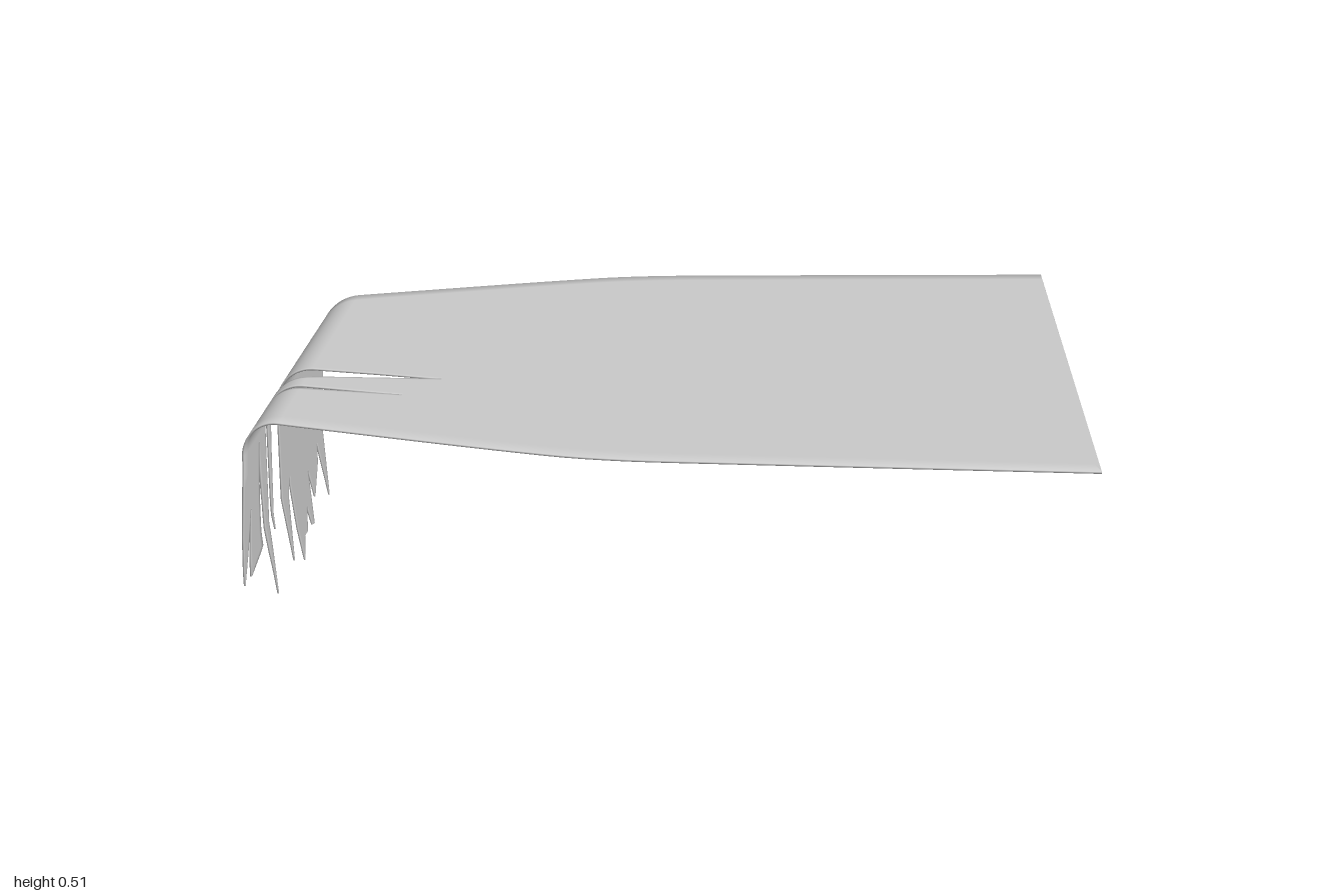
import * as THREE from 'three';

const R = 0.085, TOP = 0.513, FOLD = -0.8, THICK = 0.002;

// Length along the cloth (as a continued x) at which the hanging part reaches height y
const drop = (y) => {
  const k = TOP - R - y;
  return FOLD - R * (k > 0 ? Math.PI / 2 : Math.acos(Math.min(1, 1 + k / R))) - Math.max(0, k);
};
// Torn hem points [z, y] to pattern points [length, z]
const hang = (hem) => hem.map(([z, y]) => [drop(y), z]);

// Smooth outer edge, the same on both sides; the straight end leans slightly
const sideCurve = new THREE.SplineCurve([
  [0.9, 0.995], [0.2, 0.955], [-0.1, 0.93], [-0.32, 0.862], [-0.75, 0.685],
  [drop(0.46), 0.632], [drop(0.23), 0.567],
].map(([p, z]) => new THREE.Vector2(p, z)));
const sideEdge = (s) => sideCurve.getPoints(30).map((v) => [v.x + s * 0.005, s * v.y]);

// Flat cutting pattern of the cloth
function clothOutline() {
  const wideHem = hang([[-0.535, 0.04], [-0.5, 0.11], [-0.455, 0.19], [-0.43, 0.15], [-0.33, 0.09], [-0.28, 0.168],
    [-0.27, 0.04], [-0.24, 0.045], [-0.2, 0.1], [-0.165, 0.05], [-0.12, 0.05], [-0.08, 0.003], [-0.04, 0.09],
    [-0.02, 0.22], [0.02, 0.18], [0.055, 0.04], [0.105, 0.2], [0.135, 0.46]]);
  const wideSlit = [[-0.8, 0.145], [-0.65, 0.185], [-0.5, 0.232], [-0.76, 0.223]];
  const narrowStrip = hang([[0.235, 0.47], [0.24, 0.35], [0.235, 0.165], [0.26, 0.23], [0.28, 0.4], [0.295, 0.47]]);
  const thinSlit = [[-0.8, 0.312], [-0.57, 0.387], [-0.8, 0.335]];
  const shortHem = hang([[0.32, 0.47], [0.3, 0.15], [0.305, 0.035], [0.335, 0.14], [0.36, 0.26], [0.403, 0.41],
    [0.385, 0.27], [0.37, 0.165], [0.43, 0.11], [0.45, 0.18], [0.475, 0.28], [0.485, 0.18], [0.505, 0.11],
    [0.53, 0.15]]);
  return [...sideEdge(-1), ...wideHem, ...wideSlit, ...narrowStrip, ...thinSlit, ...shortHem, ...sideEdge(1).reverse()];
}

// Bends a pattern point over the fold; the free ends sway a little
function bend(p, z) {
  const v = Math.max(0, FOLD - p), a = Math.min(v / R, Math.PI / 2);
  const y = TOP - R * (1 - Math.cos(a)) - Math.max(0, v - R * Math.PI / 2);
  let x = Math.max(p, FOLD) - R * Math.sin(a);
  const short = THREE.MathUtils.smoothstep(z, 0.32, 0.45);
  x -= short * 0.075 * Math.max(0, 0.42 - y);
  x += (1 - short) * 0.11 * Math.max(0, 0.2 - y);
  return { pos: new THREE.Vector3(x, y, z), nor: new THREE.Vector3(-Math.sin(a), Math.cos(a), 0) };
}

function clothGeometry() {
  const outline = clothOutline();
  const pos = [], nor = [], index = [];
  // One row of the cloth from z = a to z = b: an upper and a lower layer of four points each
  const addRow = (p, a, b) => {
    const inset = (z) => Math.min(Math.abs(z) > 0.6 ? 0.06 : 0.012, (b - a) / 3);
    const zs = [a, a + inset(a), b - inset(b), b];
    for (const side of [1, -1]) {
      zs.forEach((z, i) => {
        const q = bend(p, z);
        pos.push(...q.pos.addScaledVector(q.nor, side * THICK).toArray());
        const n = q.nor.multiplyScalar(side);
        if (i === 0) n.z -= 0.8;
        if (i === 3) n.z += 0.8;
        nor.push(...n.normalize().toArray());
      });
    }
  };
  const quad = (a, b, c, d) => index.push(a, b, c, a, c, d);

  // Slice the pattern into rows at every corner and along the fold
  const cuts = outline.map((c) => c[0]);
  for (let i = 0; i <= 10; i++) cuts.push(FOLD - (R * Math.PI / 2) * (i / 10));
  cuts.sort((a, b) => a - b);
  const levels = cuts.filter((c, i) => i === 0 || c - cuts[i - 1] > 1e-6);

  for (let k = 0; k < levels.length - 1; k++) {
    const lo = levels[k], hi = levels[k + 1], mid = (lo + hi) / 2;
    const hits = [];
    outline.forEach(([p0, z0], i) => {
      const [p1, z1] = outline[(i + 1) % outline.length];
      if ((p0 < mid) === (p1 < mid)) return;
      const at = (p) => z0 + (z1 - z0) * (p - p0) / (p1 - p0);
      hits.push({ lo: at(lo), mid: at(mid), hi: at(hi) });
    });
    hits.sort((a, b) => a.mid - b.mid);
    for (let i = 0; i + 1 < hits.length; i += 2) {
      const s = pos.length / 3;
      addRow(lo, hits[i].lo, hits[i + 1].lo);
      addRow(hi, hits[i].hi, hits[i + 1].hi);
      for (let c = 0; c < 3; c++) {
        quad(s + c, s + c + 1, s + 9 + c, s + 8 + c);
        quad(s + 4 + c, s + 12 + c, s + 13 + c, s + 5 + c);
      }
      // thin rims
      quad(s, s + 8, s + 12, s + 4);
      quad(s + 3, s + 7, s + 15, s + 11);
    }
  }
  const g = new THREE.BufferGeometry();
  g.setAttribute('position', new THREE.Float32BufferAttribute(pos, 3));
  g.setAttribute('normal', new THREE.Float32BufferAttribute(nor, 3));
  g.setIndex(index);
  return g;
}

export function createModel() {
  const group = new THREE.Group();
  const cloth = new THREE.Mesh(clothGeometry(), new THREE.MeshStandardMaterial({ color: 0xcccccc }));
  cloth.name = 'tornCloth';
  group.add(cloth);
  return group;
}
